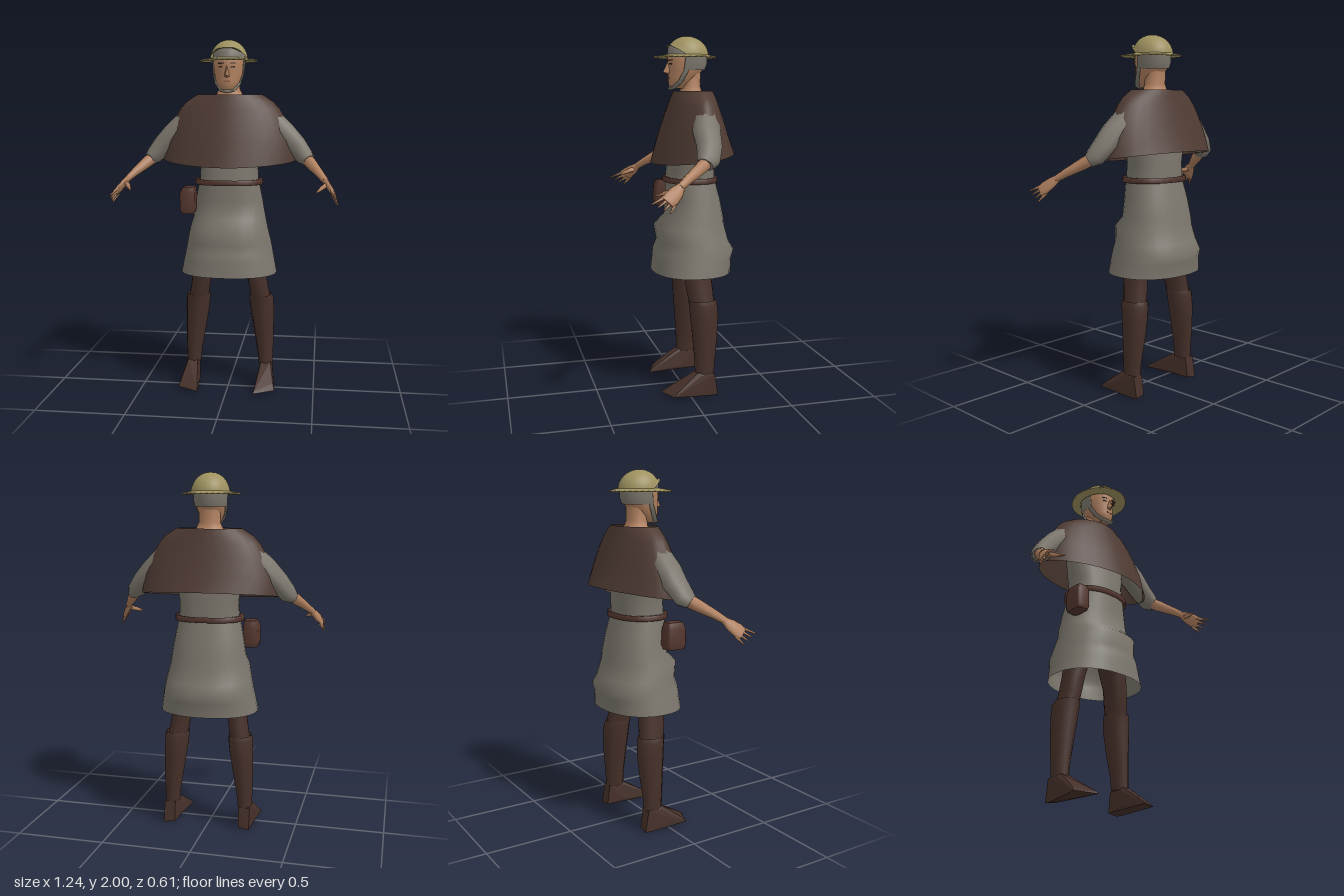
import * as THREE from 'three';
import { ConvexGeometry } from 'three/addons/geometries/ConvexGeometry.js';

const V = (x, y, z) => new THREE.Vector3(x, y, z);
const mat = (name, color, side = THREE.FrontSide) => {
  const m = new THREE.MeshStandardMaterial({ color, side });
  m.name = name;
  return m;
};

// Skin over a list of point rings, with optional end caps
function skin(rings, { closed = true, start = false, end = false } = {}) {
  const n = rings[0].length, pos = [], idx = [];
  rings.forEach(r => r.forEach(p => pos.push(p.x, p.y, p.z)));
  for (let i = 0; i < rings.length - 1; i++) {
    for (let j = 0; j < (closed ? n : n - 1); j++) {
      const k = (j + 1) % n, a = i * n + j, b = i * n + k;
      idx.push(a, a + n, b, b, a + n, b + n);
    }
  }
  const cap = (ring, flip) => {
    const base = pos.length / 3, c = V(0, 0, 0);
    ring.forEach(p => { pos.push(p.x, p.y, p.z); c.addScaledVector(p, 1 / n); });
    pos.push(c.x, c.y, c.z);
    for (let j = 0; j < n; j++) {
      const a = base + j, b = base + (j + 1) % n;
      idx.push(...(flip ? [a, b, base + n] : [b, a, base + n]));
    }
  };
  if (start) cap(rings[0], true);
  if (end) cap(rings[rings.length - 1], false);
  const g = new THREE.BufferGeometry();
  g.setAttribute('position', new THREE.Float32BufferAttribute(pos, 3));
  g.setIndex(idx);
  g.computeVertexNormals();
  return g;
}

// Horizontal sections from low to high: [y, half width, front z, back z, centre x]
function body(sections, { n = 20, pf = 2, pb = 2, zm = null, tilt = 0, from = 0, to = Math.PI * 2, ...caps } = {}) {
  const closed = to - from > 6.28;
  const pw = (v, p) => Math.sign(v) * Math.abs(v) ** (2 / p);
  return skin(sections.map(([y, rx, zf, zb, cx = 0], row) => {
    const mid = zm ?? (zf + zb) / 2;
    return Array.from({ length: closed ? n : n + 1 }, (_, j) => {
      const t = from + (to - from) * j / n, c = Math.cos(t), s = Math.sin(t), p = s > 0 ? pf : pb;
      const z = mid + pw(s, p) * (s > 0 ? zf - mid : mid - zb);
      return V(cx + rx * pw(c, p), y - (row === 0 ? tilt * (z - mid) : 0), z);
    });
  }), { closed, ...caps });
}

// Limb along points [x, y, z, wide radius, thin radius]
function limb(pts, side = 1, { n = 8, wide = [0, 0, 1], caps = true } = {}) {
  const P = pts.map(p => V(p[0] * side, p[1], p[2]));
  const w = V(wide[0] * side, wide[1], wide[2]);
  return skin(P.map((p, i) => {
    const d = P[Math.min(i + 1, P.length - 1)].clone().sub(P[Math.max(i - 1, 0)]).normalize();
    const u = w.clone().addScaledVector(d, -w.dot(d)).normalize(), v = u.clone().cross(d);
    const r = pts[i][3], r2 = pts[i][4] ?? r;
    return Array.from({ length: n }, (_, j) => {
      const t = j / n * Math.PI * 2;
      return p.clone().addScaledVector(u, r * Math.cos(t)).addScaledVector(v, r2 * Math.sin(t));
    });
  }), { start: caps, end: caps });
}

export function createModel() {
  const model = new THREE.Group();
  const D = THREE.DoubleSide;
  const wool = mat('brown wool', 0x4f3b33, D), linen = mat('grey linen', 0x7b766c, D);
  const straw = mat('straw yellow', 0x9f9260, D), flesh = mat('skin', 0xb0805f);
  const leather = mat('dark leather', 0x463029, D), strapLeather = mat('belt leather', 0x54362e, D);
  const dark = mat('dark features', 0x3a2a24), lip = mat('lips', 0x8a5a48);
  const add = (name, geo, m, parent = model) => {
    const o = new THREE.Mesh(geo, m);
    o.name = name;
    parent.add(o);
    return o;
  };

  // Head and neck
  add('head', body([
    [1.715, .032, .048, -.03], [1.735, .05, .067, -.05], [1.77, .069, .07, -.09], [1.82, .081, .067, -.13],
    [1.86, .086, .073, -.143], [1.92, .085, .069, -.143], [1.965, .05, .035, -.1]
  ], { start: true, end: true }), flesh);
  add('neck', body([[1.67, .12, .015, -.14], [1.70, .075, 0, -.12], [1.73, .06, 0, -.113], [1.80, .06, 0, -.115]]), flesh);
  add('nose', new ConvexGeometry([
    V(0, 1.86, .073), V(-.016, 1.797, .062), V(.016, 1.797, .062), V(0, 1.803, .1), V(0, 1.79, .07), V(0, 1.86, .06)
  ]), flesh);
  add('mouth', new THREE.BoxGeometry(.036, .007, .008), lip).position.set(0, 1.77, .067);
  for (const s of [1, -1]) {
    const eye = add('eye', new THREE.BoxGeometry(.022, .008, .006), dark);
    eye.position.set(.033 * s, 1.848, .064);
    eye.rotation.y = .35 * s;
    const brow = add('eyebrow', new THREE.BoxGeometry(.03, .006, .006), dark);
    brow.position.set(.033 * s, 1.868, .065);
    brow.rotation.y = .35 * s;
  }

  // Linen cap with chin strap
  add('capCrown', body([[1.895, .092, .075, -.15], [1.93, .087, .072, -.147], [1.952, .068, .058, -.125], [1.975, .03, .01, -.07]], { end: true }), linen);
  add('capBack', body([[1.815, .085, .07, -.138], [1.85, .093, .075, -.151], [1.9, .093, .076, -.151]],
    { from: Math.PI * .95, to: Math.PI * 2.05 }), linen);
  add('chinStrap', limb([
    [.088, 1.89, -.02, .014, .004], [.083, 1.81, -.012, .014, .005], [.066, 1.755, .015, .014, .006], [.035, 1.72, .045, .014, .007],
    [0, 1.715, .055, .016, .01],
    [-.035, 1.72, .045, .014, .007], [-.066, 1.755, .015, .014, .006], [-.083, 1.81, -.012, .014, .005], [-.088, 1.89, -.02, .014, .004]
  ]), linen);

  // Hat: the front of the crown is lifted clear of the brim
  const hat = new THREE.Group();
  hat.name = 'hat';
  model.add(hat);
  add('brim', body([[1.887, .1, .08, -.155], [1.881, .16, .148, -.202], [1.889, .16, .148, -.202], [1.9, .1, .08, -.155]], { n: 32 }), straw, hat);
  const dome = [];
  for (let i = 0; i <= 8; i++) {
    const a = i / 8 * 1.5, c = Math.cos(a);
    dome.push([1.89 + .11 * Math.sin(a), .106 * c, -.035 + .115 * c, -.035 - .125 * c]);
  }
  const crown = body(dome, { n: 32, end: true }), cp = crown.attributes.position;
  for (let i = 0; i < cp.count; i++) {
    const lift = 1.89 + .06 * THREE.MathUtils.clamp((cp.getZ(i) + .02) / .09, 0, 1);
    cp.setY(i, Math.max(cp.getY(i), lift));
  }
  crown.computeVertexNormals();
  add('crown', crown, straw, hat);

  // Shoulder cape, hem rising towards the back
  add('cape', body([
    [1.335, .386, .165, -.29], [1.45, .369, .122, -.255], [1.55, .326, .088, -.224],
    [1.62, .285, .064, -.2], [1.66, .248, .05, -.19], [1.70, .185, .035, -.178]
  ], { n: 28, zm: -.07, pf: 1.75, pb: 1.9, tilt: .15 }), wool);

  // Tunic
  add('tunicTop', body([
    [1.2, .17, .08, -.19], [1.3, .165, .072, -.188], [1.5, .2, .045, -.18], [1.62, .22, .025, -.17], [1.66, .185, .015, -.165], [1.69, .13, -.005, -.15]
  ], { pf: 2.3, pb: 2.3, end: true }), linen);
  add('skirt', body([
    [.683, .277, .165, -.28], [.76, .262, .157, -.285], [.81, .252, .153, -.302], [.86, .243, .132, -.27],
    [.945, .224, .148, -.248], [1.0, .21, .088, -.24], [1.1, .193, .082, -.22], [1.21, .172, .08, -.19]
  ], { n: 28, pf: 2.3, pb: 2.2 }), linen);
  add('belt', body([
    [1.197, .176, .08, -.19], [1.195, .194, .096, -.203], [1.225, .192, .094, -.201], [1.223, .172, .08, -.19]
  ], { n: 28, pf: 2.3, pb: 2.3 }), strapLeather);
  const pouch = add('pouch', body([
    [1.035, .036, .09, -.02, -.222], [1.06, .044, .098, -.03, -.222], [1.15, .044, .095, -.025, -.222], [1.185, .034, .082, -.012, -.215]
  ], { n: 12, pf: 5, pb: 5, start: true, end: true }), strapLeather);
  pouch.position.z = .01;

  for (const s of [1, -1]) {
    // Arm: short sleeve, forearm, palm and fingers
    const arm = new THREE.Group();
    arm.name = s > 0 ? 'leftArm' : 'rightArm';
    model.add(arm);
    add('sleeve', limb([
      [.19, 1.59, -.08, .075], [.32, 1.475, -.06, .075, .068], [.385, 1.41, -.055, .068, .06], [.435, 1.35, -.035, .062, .05], [.458, 1.33, -.012, .045, .035]
    ], s, { n: 9 }), linen, arm);
    add('forearm', limb([
      [.425, 1.355, -.045, .036], [.47, 1.315, .015, .035, .032], [.52, 1.265, .095, .026, .022], [.553, 1.23, .145, .02, .017]
    ], s), flesh, arm);
    const wide = [-.12, .5, .85];
    add('palm', limb([
      [.545, 1.237, .135, .021, .016], [.565, 1.21, .165, .036, .016], [.588, 1.18, .2, .042, .013], [.598, 1.162, .22, .036, .01]
    ], s, { wide }), flesh, arm);
    for (let f = 0; f < 4; f++) {
      const k = f / 3, mix = THREE.MathUtils.lerp;
      add('finger', limb([
        [mix(.582, .592, k), mix(1.192, 1.155, k), mix(.225, .18, k), .012, .01],
        [mix(.606, .616, k), mix(1.158, 1.112, k), mix(.302, .212, k), .004]
      ], s, { n: 5 }), flesh, arm);
    }
    add('thumb', limb([[.55, 1.215, .165, .018, .014], [.525, 1.2, .215, .012], [.502, 1.185, .265, .004]], s, { n: 5 }), flesh, arm);

    // Leg: trousers, tall boot and pointed shoe
    const leg = new THREE.Group();
    leg.name = s > 0 ? 'leftLeg' : 'rightLeg';
    model.add(leg);
    add('trouser', body([
      [.48, .058, -.015, -.15, .19 * s], [.6, .056, .01, -.145, .17 * s], [.7, .058, .02, -.135, .155 * s], [1.0, .085, .05, -.16, .09 * s]
    ], { n: 12 }), leather, leg);
    add('boot', body([
      [.125, .041, -.03, -.14, .214 * s], [.2, .047, -.028, -.145, .212 * s], [.33, .059, -.018, -.16, .202 * s],
      [.45, .069, -.008, -.167, .192 * s], [.52, .072, -.002, -.163, .187 * s], [.545, .066, .004, -.155, .183 * s]
    ], { n: 10, start: true }), leather, leg);
    add('shoe', new ConvexGeometry([
      [.182, .12, -.045], [.19, .137, -.04], [.245, .137, -.04], [.254, .125, -.06], [.252, .125, -.135], [.188, .125, -.135],
      [.188, .012, -.15], [.25, .004, -.155], [.262, .03, -.05], [.172, .03, -.04], [.25, .08, .03], [.185, .08, .035],
      [.16, .012, .155], [.163, .024, .145], [.278, .02, .105], [.268, .05, .075], [.25, 0, -.12]
    ].map(p => V(p[0] * s, p[1], p[2]))), leather, leg);
  }
  return model;
}
